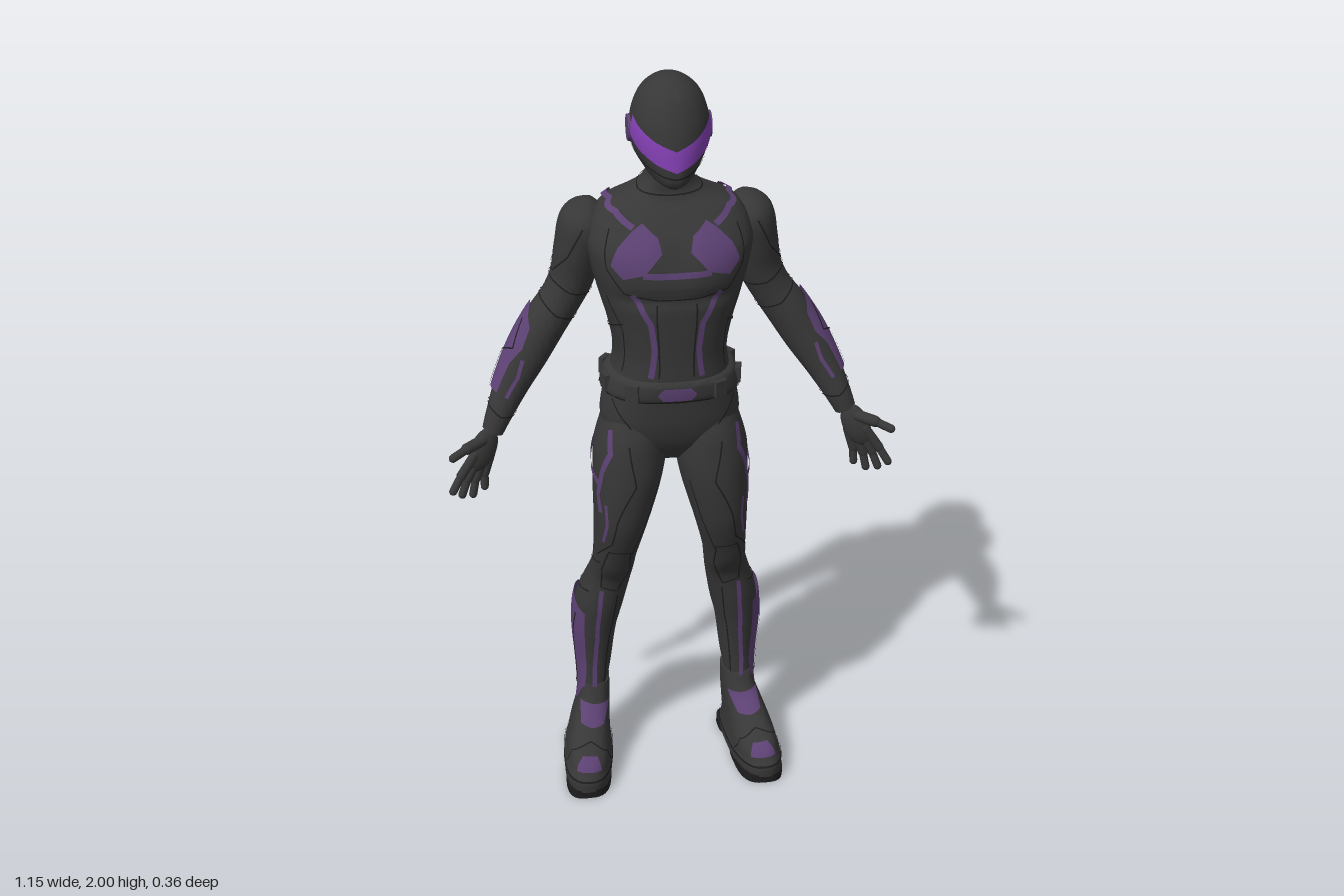
import * as THREE from 'three';
import { toCreasedNormals } from 'three/addons/utils/BufferGeometryUtils.js';

const mat = (name, color, side = THREE.FrontSide) => new THREE.MeshStandardMaterial({ name, color, side });
const suit = mat('charcoal suit', 0x373737);
const purple = mat('dull purple', 0x5c4173, THREE.DoubleSide);
const violet = mat('bright violet', 0x8440b4, THREE.DoubleSide);
const black = mat('black seam', 0x1d1d1d, THREE.DoubleSide);

// Smooth lookup in a table of cross-sections [y, x, z, halfWidth, front, back]
function at(T, y) {
  const n = T.length;
  y = Math.min(Math.max(y, T[0][0]), T[n - 1][0]);
  let i = 0;
  while (i < n - 2 && y > T[i + 1][0]) i++;
  const a = T[i], b = T[i + 1], p = T[Math.max(i - 1, 0)], q = T[Math.min(i + 2, n - 1)];
  const h = b[0] - a[0], t = (y - a[0]) / h, t2 = t * t, t3 = t2 * t;
  return a.map((_, k) => {
    const ma = (b[k] - p[k]) / (b[0] - p[0]) * h, mb = (q[k] - a[k]) / (q[0] - a[0]) * h;
    return (2 * t3 - 3 * t2 + 1) * a[k] + (t3 - 2 * t2 + t) * ma + (3 * t2 - 2 * t3) * b[k] + (t3 - t2) * mb;
  });
}

// Body surface addressed by height and angle (0 = front, 90 = outer side, 180 = back)
function surface(table, { e = 1, mod = () => 0, skew = 0 } = {}) {
  const T = table.slice().sort((a, b) => a[0] - b[0]), y0 = T[0][0], y1 = T[T.length - 1][0];
  const f = (y, deg) => {
    const v = at(T, y), lo = Math.max(y - 0.01, y0), hi = Math.min(y + 0.01, y1);
    const slope = (at(T, hi)[1] - at(T, lo)[1]) / (hi - lo), n = Math.hypot(1, slope);
    const s = Math.sin(deg * Math.PI / 180), c = Math.cos(deg * Math.PI / 180), k = 1 + mod(y, deg);
    const u = Math.sign(s) * Math.abs(s) ** e * v[3] * k;
    const z = v[2] + Math.sign(c) * Math.abs(c) ** e * (c > 0 ? v[4] : v[5]) * k;
    return new THREE.Vector3(v[1] + u / n + skew * z, v[0] - u * slope / n, z);
  };
  const normal = (y, d) => f(y, d + 1).sub(f(y, d - 1)).cross(f(Math.min(y + 0.004, y1), d).sub(f(Math.max(y - 0.004, y0), d))).normalize();
  const lift = (y, d, off) => f(y, d).addScaledVector(normal(y, d), off);
  return { T, f, normal, lift, y0, y1 };
}

// Geometry from a grid of points
function grid(rows) {
  const m = rows[0].length, idx = [], g = new THREE.BufferGeometry().setFromPoints(rows.flat());
  for (let i = 0; i < rows.length - 1; i++) for (let j = 0; j < m - 1; j++) {
    const a = i * m + j, b = a + m;
    idx.push(a, a + 1, b + 1, a, b + 1, b);
  }
  g.setIndex(idx);
  return g;
}

// Closed solid following a surface
function loft(S, n = 60, m = 44) {
  const rows = [];
  for (let i = 0; i <= n; i++) {
    const y = S.y0 + (S.y1 - S.y0) * i / n;
    rows.push(Array.from({ length: m + 1 }, (_, j) => S.f(y, -180 + 360 * j / m)));
  }
  const cap = r => r.map(() => r[0].clone().lerp(r[m / 2], 0.5));
  return toCreasedNormals(grid([cap(rows[0]), ...rows, cap(rows[n])]), 0.9);
}

const dense = (pts, k) => pts.slice(1).flatMap((p, i) => Array.from({ length: k }, (_, j) =>
  pts[i].map((v, c) => v + (p[c] - v) * j / k))).concat([pts[pts.length - 1]]);

// Thin panel between two edge lines: rows of [yA, degA, yB, degB]
function plate(S, rows, off = 0.004) {
  const g = grid(dense(rows, 6).map(([ya, aa, yb, ab]) => Array.from({ length: 13 }, (_, j) =>
    S.lift(ya + (yb - ya) * j / 12, aa + (ab - aa) * j / 12, off))));
  g.computeVertexNormals();
  return g;
}

// Stripe of even width along a line of [y, deg]
function ribbon(S, pts, width = 0.004, off = 0.0025) {
  const d = dense(pts, 8), P = d.map(([y, a]) => S.lift(y, a, off));
  const g = grid(P.map((p, i) => {
    const t = P[Math.min(i + 1, P.length - 1)].clone().sub(P[Math.max(i - 1, 0)]);
    const side = S.normal(...d[i]).cross(t).normalize().multiplyScalar(width / 2);
    return [p.clone().add(side), p.clone().sub(side)];
  }));
  g.computeVertexNormals();
  return g;
}

function mirror(geo) {
  const g = geo.index ? geo.toNonIndexed() : geo.clone();
  for (const key of ['position', 'normal']) {
    const a = g.attributes[key];
    for (let i = 0; i < a.count; i++) a.setX(i, -a.getX(i));
    for (let i = 0; i < a.count; i += 3) {
      const p = [a.getX(i + 1), a.getY(i + 1), a.getZ(i + 1)];
      a.setXYZ(i + 1, a.getX(i + 2), a.getY(i + 2), a.getZ(i + 2));
      a.setXYZ(i + 2, ...p);
    }
  }
  return g;
}

function capsule(a, b, r) {
  const A = new THREE.Vector3(...a), B = new THREE.Vector3(...b), d = B.clone().sub(A);
  const g = new THREE.CapsuleGeometry(r, d.length(), 5, 12);
  g.applyQuaternion(new THREE.Quaternion().setFromUnitVectors(new THREE.Vector3(0, 1, 0), d.normalize()));
  return g.translate(...A.add(B).multiplyScalar(0.5).toArray());
}

export function createModel() {
  const model = new THREE.Group();
  const add = (name, geo, m = suit) => { const o = new THREE.Mesh(geo, m); o.name = name; model.add(o); };
  const both = (name, geo, m = suit) => { add(name + 'Left', geo, m); add(name + 'Right', mirror(geo), m); };
  const bump = (v, c, w) => Math.exp(-(((v - c) / w) ** 2));

  // Torso with grooves along the breastbone and spine
  const torso = surface([[1.78, 0, 0, .052, .05, .085], [1.745, 0, 0, .058, .052, .092], [1.72, 0, 0, .078, .05, .1],
    [1.7, 0, 0, .115, .055, .112], [1.675, 0, 0, .17, .075, .132], [1.6, 0, 0, .205, .13, .175], [1.54, 0, 0, .2, .15, .178],
    [1.45, 0, 0, .178, .146, .148], [1.38, 0, 0, .158, .142, .115], [1.3, 0, 0, .144, .138, .086], [1.24, 0, 0, .152, .138, .08],
    [1.18, 0, 0, .17, .132, .085], [1.1, 0, 0, .178, .122, .085], [1.04, 0, 0, .15, .1, .075], [.99, 0, 0, .07, .06, .05]],
  { e: .82, mod: (y, d) => -.09 * bump(Math.abs(d), 180, 13) * bump(y, 1.5, .16) - .07 * bump(d, 0, 9) * bump(y, 1.58, .06)
    - .05 * bump(y, 1.47, .018) * bump(Math.abs(d), 18, 30) });
  add('torso', loft(torso, 90, 72));
  both('chestPanel', plate(torso, [[1.56, 46, 1.53, 36], [1.605, 38, 1.545, 18], [1.64, 27, 1.59, 7], [1.655, 20, 1.625, 9]]), purple);
  add('chestBar', plate(torso, [[1.535, -20, 1.55, -20], [1.53, 0, 1.545, 0], [1.535, 20, 1.55, 20]]), purple);
  both('shoulderStrap', ribbon(torso, [[1.645, 27], [1.675, 50], [1.688, 90], [1.675, 128], [1.64, 146]], .016, .005), purple);
  both('backStripe', plate(torso, [[1.65, 138, 1.65, 152], [1.61, 147, 1.6, 157], [1.55, 158, 1.55, 163], [1.46, 163, 1.46, 166]]), purple);
  both('bellyStripe', ribbon(torso, [[1.49, 31], [1.41, 18], [1.34, 17], [1.26, 21]], .015, .004), purple);
  both('chestSeam', ribbon(torso, [[1.64, 50], [1.55, 52], [1.49, 38], [1.475, 12], [1.475, 0]]), black);
  both('bellySeam', ribbon(torso, [[1.46, 12], [1.4, 13], [1.26, 13]]), black);
  both('flankSeam', ribbon(torso, [[1.47, 62], [1.38, 50], [1.26, 58]]), black);
  both('ribSeam', ribbon(torso, [[1.4, 48], [1.37, 80], [1.34, 110], [1.28, 140]]), black);
  both('backSeam', ribbon(torso, [[1.53, 160], [1.4, 158], [1.26, 163]]), black);
  both('hipSeam', ribbon(torso, [[1.18, 62], [1.12, 38], [1.06, 20]]), black);
  add('neckSeam', ribbon(torso, [[1.735, -180], [1.72, -90], [1.71, 0], [1.72, 90], [1.735, 180]]), black);

  // Belt, buckle and pouches
  const belt = surface([1.19, 1.2, 1.24, 1.248].map((y, i) => {
    const v = at(torso.T, y), o = i % 3 ? .014 : .008;
    return [y, 0, 0, v[3] + o, v[4] + o, v[5] + o];
  }), { e: .82 });
  add('belt', loft(belt, 8, 64));
  add('beltEdge', ribbon(belt, [[1.196, -180], [1.196, 180]].flatMap(([y, a], i) => i ? [[y, 0], [y, a]] : [[y, a]]), .005), black);
  add('buckle', plate(belt, [[1.218, -12, 1.222, -12], [1.203, -8, 1.237, -8], [1.203, 8, 1.237, 8], [1.218, 12, 1.222, 12]], .005), purple);
  for (const a of [35, 75, 115, 150]) {
    const g = new THREE.BoxGeometry(.035, .042, .014), n = belt.normal(1.22, a);
    g.rotateY(Math.atan2(n.x, n.z)).translate(...belt.lift(1.22, a, .001).toArray());
    both('beltPouch', g);
  }

  // Helmeted head
  const head = surface([[2, 0, 0, .008, .01, .01], [1.992, 0, 0, .036, .046, .046], [1.965, 0, 0, .069, .083, .083],
    [1.92, 0, 0, .09, .108, .106], [1.87, 0, 0, .097, .123, .112], [1.82, 0, 0, .088, .129, .1],
    [1.78, 0, .01, .066, .12, .075], [1.757, 0, .04, .044, .083, .04], [1.745, 0, .075, .018, .03, .02]]);
  add('head', loft(head, 60, 48));
  add('visor', plate(head, [[1.865, -76, 1.912, -72], [1.838, -58, 1.897, -58], [1.812, -28, 1.868, -28], [1.796, 0, 1.848, 0],
    [1.812, 28, 1.868, 28], [1.838, 58, 1.897, 58], [1.865, 76, 1.912, 72]]), violet);
  const ear = new THREE.CylinderGeometry(.032, .034, .009, 28).rotateZ(-Math.PI / 2).translate(.097, 1.867, -.005);
  both('earDisc', ear, purple);
  both('jawSeam', ribbon(head, [[1.84, 88], [1.805, 60], [1.785, 25], [1.78, 0]]), black);

  // Arms
  const arm = surface([[1.675, .19, -.045, .012, .015, .02], [1.655, .195, -.045, .042, .05, .06], [1.62, .205, -.045, .062, .075, .08],
    [1.55, .22, -.05, .061, .074, .078], [1.47, .238, -.055, .056, .062, .065], [1.41, .268, -.052, .053, .055, .058],
    [1.35, .31, -.045, .056, .056, .055], [1.28, .355, -.03, .055, .052, .05], [1.2, .402, -.008, .045, .044, .043],
    [1.13, .438, .018, .034, .034, .034], [1.09, .456, .03, .028, .026, .026]]);
  both('arm', loft(arm, 60, 40));
  both('forearmGuard', plate(arm, [[1.37, 85, 1.37, 100], [1.335, 38, 1.335, 158], [1.29, 28, 1.29, 165], [1.25, 42, 1.25, 155], [1.18, 45, 1.18, 140]], .006), purple);
  both('forearmTrim', ribbon(arm, [[1.27, 15], [1.23, 5], [1.18, 10]], .01, .004), purple);
  both('guardSeam', ribbon(arm, [[1.34, 70], [1.28, 50], [1.26, 90], [1.18, 95]], .004, .009), black);
  for (const y of [1.15, 1.4, 1.46]) both('armSeam', ribbon(arm, [[y, -100], [y - .015, 0], [y, 100], [y, 200]]), black);
  both('shoulderSeam', ribbon(arm, [[1.62, 10], [1.54, 30], [1.48, 70], [1.5, 120]]), black);

  // Hands with open fingers
  const palm = new THREE.SphereGeometry(1, 20, 14).scale(.036, .062, .02).rotateZ(.42).rotateY(-.35).translate(.484, 1.045, .048);
  both('palm', palm);
  both('thumb', capsule([.485, 1.075, .055], [.525, 1.07, .085], .015));
  both('thumbTip', capsule([.525, 1.07, .085], [.562, 1.058, .108], .011));
  [[.513, 1.02, .062, .566, .946, .08], [.505, 1.005, .054, .543, .926, .064], [.49, 1, .046, .515, .918, .05], [.473, 1.008, .038, .484, .932, .038]]
    .forEach(([x, y, z, X, Y, Z]) => {
      const mid = [(x + X) / 2 + .004, (y + Y) / 2, (z + Z) / 2 - .003];
      both('finger', capsule([x - .008, y + .02, z], mid, .0125));
      both('fingertip', capsule(mid, [X, Y, Z], .0105));
    });

  // Legs
  const leg = surface([[1.13, .095, .01, .07, .09, .09], [1.07, .1, .012, .085, .108, .115], [1.01, .106, .015, .094, .112, .118],
    [.95, .112, .02, .09, .11, .112], [.88, .122, .022, .082, .104, .1], [.8, .133, .022, .07, .092, .092],
    [.7, .146, .006, .058, .072, .068], [.65, .151, -.01, .056, .068, .06], [.6, .16, -.032, .058, .06, .068],
    [.5, .184, -.065, .064, .076, .083], [.42, .196, -.074, .058, .07, .08], [.3, .2, -.078, .046, .058, .062],
    [.2, .207, -.07, .036, .052, .055], [.13, .214, -.06, .04, .055, .055]], { e: .92 });
  both('leg', loft(leg, 90, 44));
  both('calfGuard', plate(leg, [[.51, 95, .51, 130], [.48, 35, .48, 158], [.4, 30, .4, 152], [.28, 28, .28, 140], [.2, 40, .2, 150], [.165, 85, .165, 120]], .008), purple);
  both('calfGuardSeam', ribbon(leg, [[.47, 60], [.4, 68], [.25, 68], [.2, 100], [.26, 128], [.42, 125]], .005, .011), black);
  both('shinStripe', ribbon(leg, [[.57, 15], [.5, 5], [.4, 0], [.29, 5], [.2, 0]], .012, .005), purple);
  both('shinSeam', ribbon(leg, [[.56, -25], [.45, -35], [.3, -30], [.2, -40]]), black);
  both('hipStripe', ribbon(leg, [[1.09, 48], [1.03, 38], [.97, 52], [.9, 60], [.85, 52]], .016, .004), purple);
  both('thighBand', ribbon(leg, [[.93, 55], [.95, 90], [1.0, 125], [1.005, 160], [.97, 195]], .018, .005), purple);
  both('thighStripe', ribbon(leg, [[.88, 40], [.82, 35], [.76, 42]], .009, .004), purple);
  both('thighSeam', ribbon(leg, [[1.06, 10], [.95, -5], [.84, 15], [.76, 20], [.7, 60]]), black);
  both('innerSeam', ribbon(leg, [[.95, -50], [.82, -45], [.72, -30]]), black);
  both('backLegSeam', ribbon(leg, [[.92, 140], [.8, 150], [.7, 140]]), black);
  both('kneePad', ribbon(leg, [[.73, 25], [.66, 38], [.58, 20], [.575, -20], [.66, -38], [.73, -25], [.73, 25]]), black);
  for (const y of [.55, .68]) both('kneeSeam', ribbon(leg, [[y, 45], [y - .02, 110], [y - .01, 180], [y, 230]]), black);

  // Boots with split treads
  const boot = surface([[.24, .207, -.07, .04, .052, .054], [.19, .21, -.065, .044, .07, .065], [.15, .217, -.05, .05, .1, .085],
    [.12, .222, -.03, .055, .128, .108], [.09, .226, 0, .06, .148, .142], [.06, .228, .008, .064, .163, .16],
    [.05, .229, .01, .067, .168, .168], [.02, .229, .01, .067, .168, .168]], { e: .78, skew: .1 });
  both('boot', loft(boot, 48, 44));
  both('toePlate', plate(boot, [[.075, -26, .075, 26], [.09, -22, .09, 22], [.103, -14, .103, 14]]), purple);
  both('ankleStrap', plate(boot, [[.15, -30, .195, -50], [.145, 0, .19, 0], [.15, 30, .195, 50]], .006), purple);
  both('soleSeam', ribbon(boot, [[.053, -180], [.053, -90], [.053, 0], [.053, 90], [.053, 180]], .006), black);
  both('bootSeam', ribbon(boot, [[.06, 70], [.1, 50], [.125, 0], [.1, -50], [.06, -70]]), black);
  for (const [z, f, b] of [[.06, .116, .075], [-.095, .05, .062]]) {
    const tread = surface([0, .012, .025].map(y => [y, .229, z, .063, f, b]), { e: .65, skew: .1 });
    both('tread', loft(tread, 4, 40), black);
  }
  return model;
}
